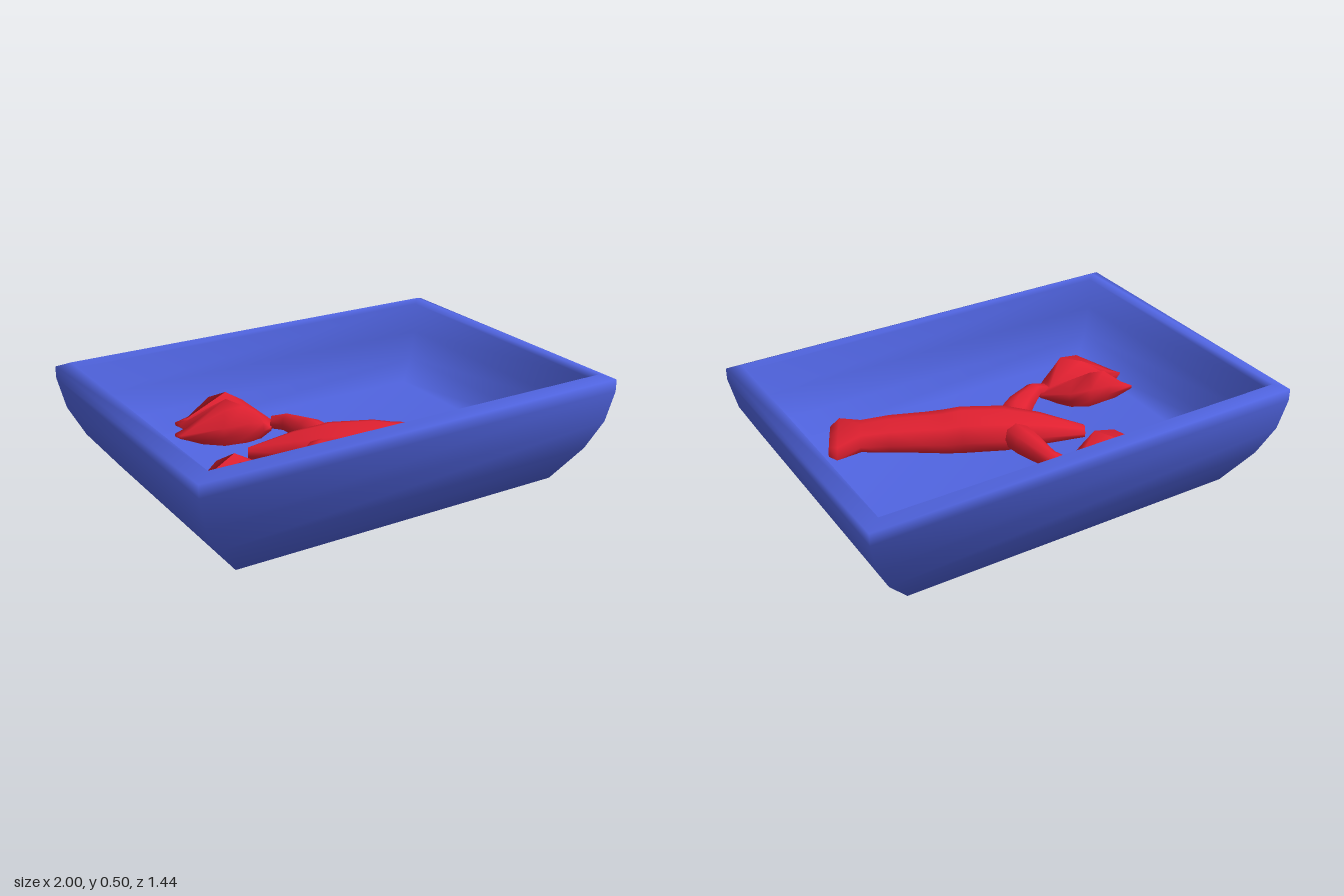
import * as THREE from 'three';

const blue = new THREE.MeshStandardMaterial({ color: 0x5064e0 });
const red = new THREE.MeshStandardMaterial({ color: 0xe02030 });

// Joins equal-sized rings of points into a closed smooth skin; capFaces close both ends.
function skin(rings, capFaces) {
  const n = rings[0].length, last = (rings.length - 1) * n, idx = [];
  for (let i = 0; i < last; i += n) {
    for (let j = 0; j < n; j++) {
      const a = i + j, b = i + (j + 1) % n;
      idx.push(a, b, b + n, a, b + n, a + n);
    }
  }
  for (const [a, b, c] of capFaces) idx.push(a, c, b, last + a, last + b, last + c);
  const g = new THREE.BufferGeometry();
  g.setAttribute('position', new THREE.Float32BufferAttribute(rings.flat(2), 3));
  g.setIndex(idx);
  g.computeVertexNormals();
  return g;
}

// Triangle fan for a convex ring
const fan = n => Array.from({ length: n - 2 }, (_, i) => [0, i + 1, i + 2]);

function part(name, geometry, material) {
  const m = new THREE.Mesh(geometry, material);
  m.name = name;
  return m;
}

// Oval sections, each given by its two plan edges, half height and centre height:
// [ax, az, bx, bz, h, y]
function limb(name, sections, sides = 8) {
  const f = sections[0], l = sections[sections.length - 1];
  const dx = l[0] + l[2] - f[0] - f[2], dz = l[1] + l[3] - f[1] - f[3];
  const sign = (f[2] - f[0]) * dz > (f[3] - f[1]) * dx ? 1 : -1;
  const rings = sections.map(([ax, az, bx, bz, h, y]) =>
    Array.from({ length: sides }, (_, j) => {
      const t = (j / sides) * Math.PI * 2, c = sign * Math.cos(t) / 2;
      return [(ax + bx) / 2 + (bx - ax) * c, y + h * Math.sin(t), (az + bz) / 2 + (bz - az) * c];
    }));
  return part(name, skin(rings, fan(sides)), red);
}

function makeBowl() {
  // Rectangular rings [half x, half z, y]: up the outside, over the rim, down to the floor
  const profile = [
    [0.79, 0.57, 0], [0.905, 0.655, 0.15], [0.97, 0.7, 0.28], [1, 0.72, 0.42], [1, 0.72, 0.475],
    [0.94, 0.675, 0.497], [0.925, 0.665, 0.47], [0.905, 0.645, 0.33], [0.87, 0.62, 0.2], [0.79, 0.565, 0.1],
  ];
  const rings = profile.map(([x, z, y]) => [[-x, y, z], [x, y, z], [x, y, -z], [-x, y, -z]]);
  return part('bowl', skin(rings, fan(4)), blue);
}

// Forked claw with its wrist at the origin: a plan outline swelling to its middle layer
function makeClaw(name, x, z, turn) {
  // [x, z, half height]
  const outline = [
    [-0.02, 0.03, 0.035], [0.025, -0.03, 0.035], [-0.045, -0.16, 0.08], [-0.125, -0.22, 0.105],
    [-0.23, -0.24, 0.095], [-0.368, -0.262, 0.03], [-0.355, -0.228, 0.03], [-0.185, -0.095, 0.11],
    [-0.425, -0.14, 0.03], [-0.415, -0.1, 0.03], [-0.255, 0.018, 0.095], [-0.135, 0.04, 0.105],
    [-0.06, 0.032, 0.08],
  ];
  const layers = [[0.78, -1], [1, -0.25], [1, 0.25], [0.78, 1]];
  const rings = layers.map(([s, k]) => outline.map(([px, pz, h]) =>
    [-0.185 + (px + 0.185) * s, 0.13 + h * (0.4 + k), -0.095 + (pz + 0.095) * s]));
  const faces = THREE.ShapeUtils.triangulateShape(
    outline.map(([px, pz]) => new THREE.Vector2(px, -pz)), []);
  const claw = part(name, skin(rings, faces), red);
  claw.position.set(x, 0, z);
  claw.rotation.y = turn;
  return claw;
}

function makeLobster() {
  const g = new THREE.Group();
  g.name = 'lobster';
  // Body and tail fan: [distance from snout, half width, half height, centre height]
  const body = [
    [0, 0.028, 0.03, 0.14], [0.2, 0.085, 0.07, 0.165], [0.36, 0.12, 0.095, 0.175], [0.56, 0.122, 0.1, 0.175],
    [0.64, 0.122, 0.09, 0.17], [0.72, 0.112, 0.085, 0.17], [0.88, 0.108, 0.075, 0.17],
    [1.01, 0.098, 0.06, 0.165], [1.11, 0.18, 0.045, 0.155], [1.15, 0.13, 0.03, 0.145],
  ];
  const dx = 0.9, dz = 0.45;
  g.add(
    limb('body', body.map(([t, w, h, y]) => {
      const x = -0.375 + dx * t, z = -0.095 + dz * t;
      return [x + dz * w, z - dx * w, x - dz * w, z + dx * w, h, y];
    })),
    limb('rightArm', [
      [0.01, 0.03, -0.1, 0.03, 0.05, 0.18], [0.012, -0.03, -0.118, -0.03, 0.062, 0.18],
      [0.005, -0.1, -0.12, -0.1, 0.06, 0.18], [-0.05, -0.28, -0.12, -0.24, 0.042, 0.17],
      [-0.11, -0.345, -0.155, -0.29, 0.03, 0.16],
    ]),
    limb('leftArm', [
      [-0.16, 0.06, -0.07, 0.14, 0.05, 0.18], [-0.21, 0.105, -0.1, 0.2, 0.062, 0.18],
      [-0.26, 0.155, -0.16, 0.24, 0.06, 0.18], [-0.37, 0.262, -0.32, 0.325, 0.042, 0.17],
      [-0.42, 0.265, -0.4, 0.325, 0.03, 0.16],
    ]),
    makeClaw('rightClaw', -0.135, -0.31, 0),
    makeClaw('leftClaw', -0.39, 0.305, 0.2));
  return g;
}

export function createModel() {
  const model = new THREE.Group();
  model.name = 'lobsterBowl';
  model.add(makeBowl(), makeLobster());
  return model;
}
